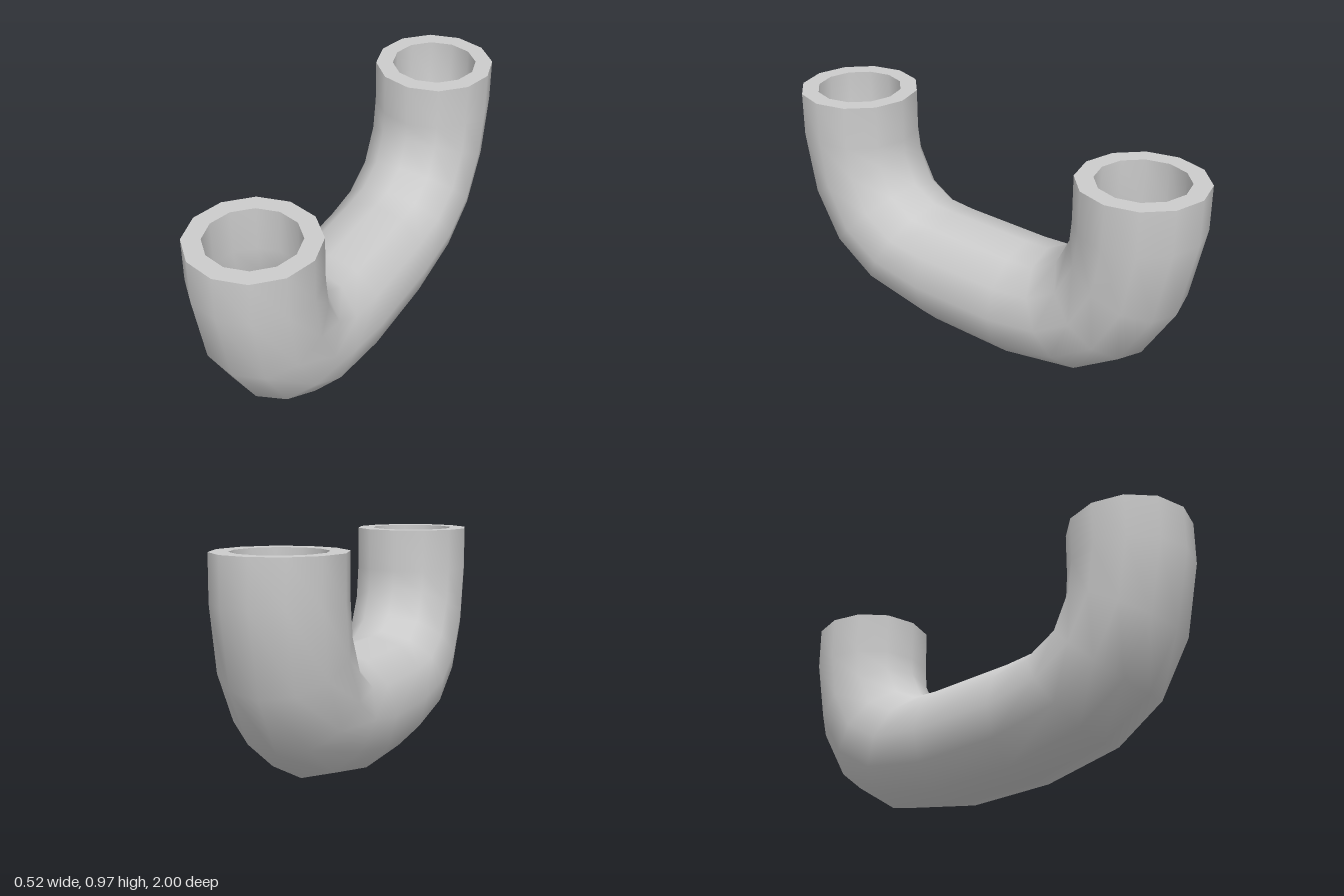
import * as THREE from 'three';
import { toCreasedNormals } from 'three/addons/utils/BufferGeometryUtils.js';

const SIDES = 12, OUTER = 0.259, INNER = 0.185;

// Ring centres of one half of the bend: z, y, tilt in degrees
const half = [
  [0.741, 0.967, 0],
  [0.741, 0.78, 0],
  [0.705, 0.578, 29],
  [0.605, 0.4, 45],
  [0.44, 0.298, 60],
  [0.2, 0.259, 90],
];

function ring([z, y, tilt], radius) {
  const t = THREE.MathUtils.degToRad(tilt);
  return Array.from({ length: SIDES }, (_, j) => {
    const a = (j / SIDES) * Math.PI * 2, c = radius * Math.cos(a);
    return [radius * Math.sin(a), y + c * Math.sin(t), z - c * Math.cos(t)];
  });
}

export function createModel() {
  // Mirror the half path to get the whole U
  const path = [...half, ...half.map(([z, y, t]) => [-z, y, 180 - t]).reverse()];

  // Outer wall, then back through the bore; the joins form the flat rims
  const rows = [
    ...path.map((p) => ring(p, OUTER)),
    ...path.map((p) => ring(p, INNER)).reverse(),
  ];

  const positions = [];
  rows.forEach((row, i) => {
    const next = rows[(i + 1) % rows.length];
    for (let j = 0; j < SIDES; j++) {
      const k = (j + 1) % SIDES;
      positions.push(...row[j], ...row[k], ...next[j], ...row[k], ...next[k], ...next[j]);
    }
  });
  const geometry = new THREE.BufferGeometry();
  geometry.setAttribute('position', new THREE.Float32BufferAttribute(positions, 3));

  const pipe = new THREE.Mesh(
    toCreasedNormals(geometry, 0.9),
    new THREE.MeshStandardMaterial({ color: 0xcccccc })
  );
  pipe.name = 'uBendPipe';

  const model = new THREE.Group();
  model.name = 'pipeBend';
  model.add(pipe);
  return model;
}
